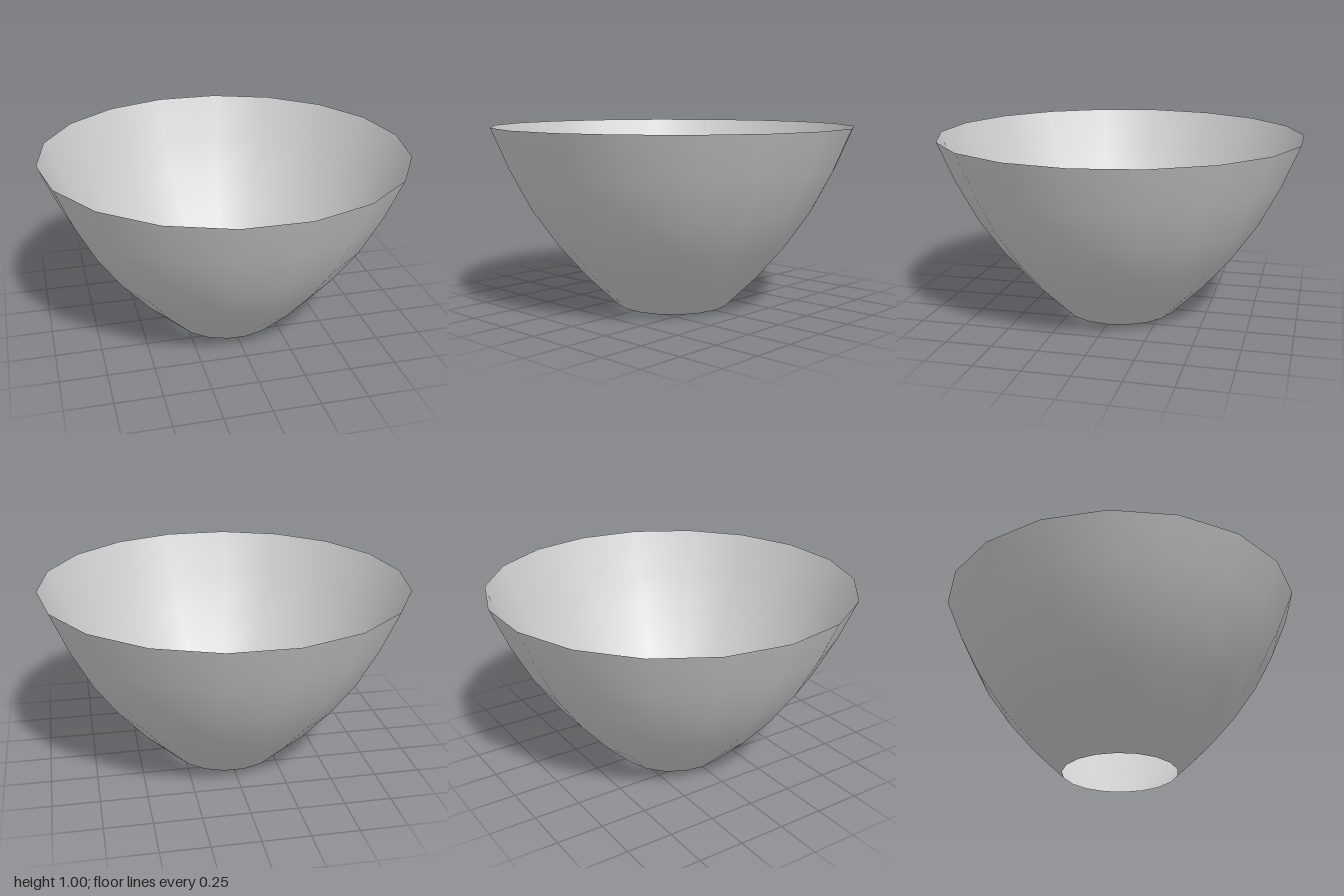
import * as THREE from 'three';

export function createModel() {
  const group = new THREE.Group();
  const material = new THREE.MeshStandardMaterial({ color: 0xcccccc, side: THREE.DoubleSide });

  // Thin open shell: radius and height from the bottom opening to the rim
  const profile = [
    [0.315, 0], [0.49, 0.17], [0.65, 0.355], [0.79, 0.555], [0.905, 0.775], [1, 1],
  ].map(([r, y]) => new THREE.Vector2(r, y));

  // 18 sides, starting with a corner on the x axis
  const bowl = new THREE.Mesh(new THREE.LatheGeometry(profile, 18, Math.PI / 2), material);
  bowl.name = 'bowlShell';
  group.add(bowl);
  return group;
}
